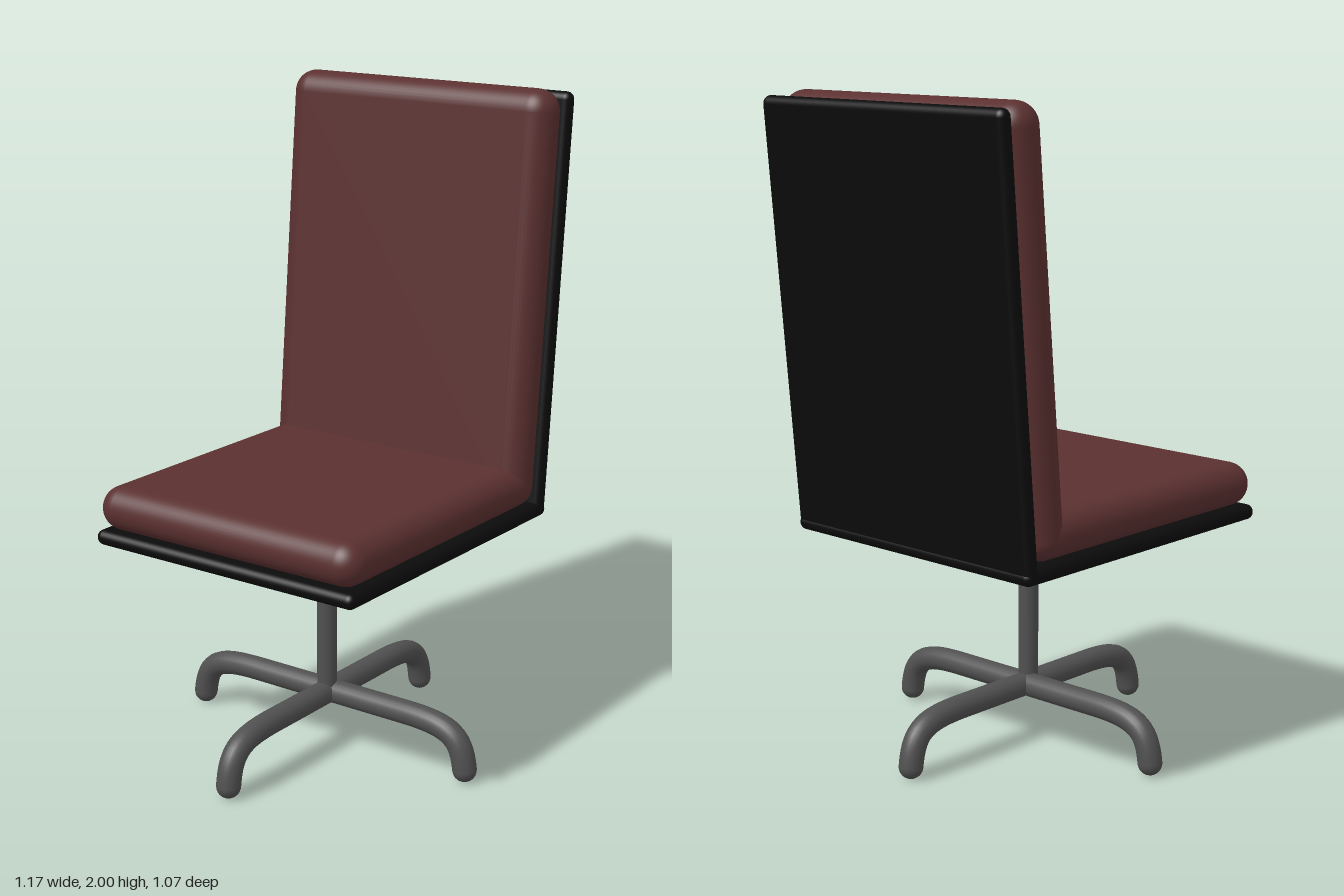
import * as THREE from 'three';
import { RoundedBoxGeometry } from 'three/addons/geometries/RoundedBoxGeometry.js';

export function createModel() {
  const chair = new THREE.Group();
  chair.name = 'swivelChair';

  const material = (name, color) => {
    const m = new THREE.MeshStandardMaterial({ color });
    m.name = name;
    return m;
  };
  const leather = material('brown leather', 0x5b3030);
  const shell = material('black shell', 0x0b0b0b);
  const metal = material('grey metal', 0x505050);

  const add = (parent, name, geometry, mat, x = 0, y = 0, z = 0) => {
    const mesh = new THREE.Mesh(geometry, mat);
    mesh.name = name;
    mesh.position.set(x, y, z);
    parent.add(mesh);
    return mesh;
  };

  // Fully rounded slab whose rounded ends are centred on the points a and b
  const depth = 0.945, midZ = -0.0225;
  const slab = (name, a, b, thickness, mat) => {
    const dx = b[0] - a[0], dy = b[1] - a[1];
    const geometry = new RoundedBoxGeometry(Math.hypot(dx, dy) + thickness, thickness, depth, 6, thickness / 2);
    const mesh = add(chair, name, geometry, mat, (a[0] + b[0]) / 2, (a[1] + b[1]) / 2, midZ);
    mesh.rotation.z = Math.atan2(dy, dx);
  };

  // Cushions and the thin shell behind them
  slab('seatCushion', [-0.492, 0.798], [0.363, 0.798], 0.135, leather);
  slab('backCushion', [0.363, 0.798], [0.464, 1.932], 0.135, leather);
  slab('seatShell', [-0.536, 0.708], [0.453, 0.708], 0.047, shell);
  slab('backShell', [0.450, 0.709], [0.558, 1.961], 0.047, shell);

  // Central column
  add(chair, 'column', new THREE.CylinderGeometry(0.031, 0.031, 0.55, 24), metal, -0.065, 0.425, 0);

  // Four bent tubular legs with round feet
  const r = 0.037;
  const path = new THREE.CurvePath();
  const v = (x, y) => new THREE.Vector3(x, y, 0);
  path.add(new THREE.LineCurve3(v(0, 0.167), v(0.28, 0.167)));
  path.add(new THREE.CubicBezierCurve3(v(0.28, 0.167), v(0.45, 0.167), v(0.487, 0.14), v(0.5, r)));
  for (let i = 0; i < 4; i++) {
    const leg = new THREE.Group();
    leg.name = 'leg' + (i + 1);
    leg.position.x = -0.052;
    leg.rotation.y = i * Math.PI / 2;
    add(leg, 'legTube', new THREE.TubeGeometry(path, 40, r, 20), metal);
    add(leg, 'foot', new THREE.SphereGeometry(r, 20, 14), metal, 0.5, r, 0);
    chair.add(leg);
  }
  return chair;
}
